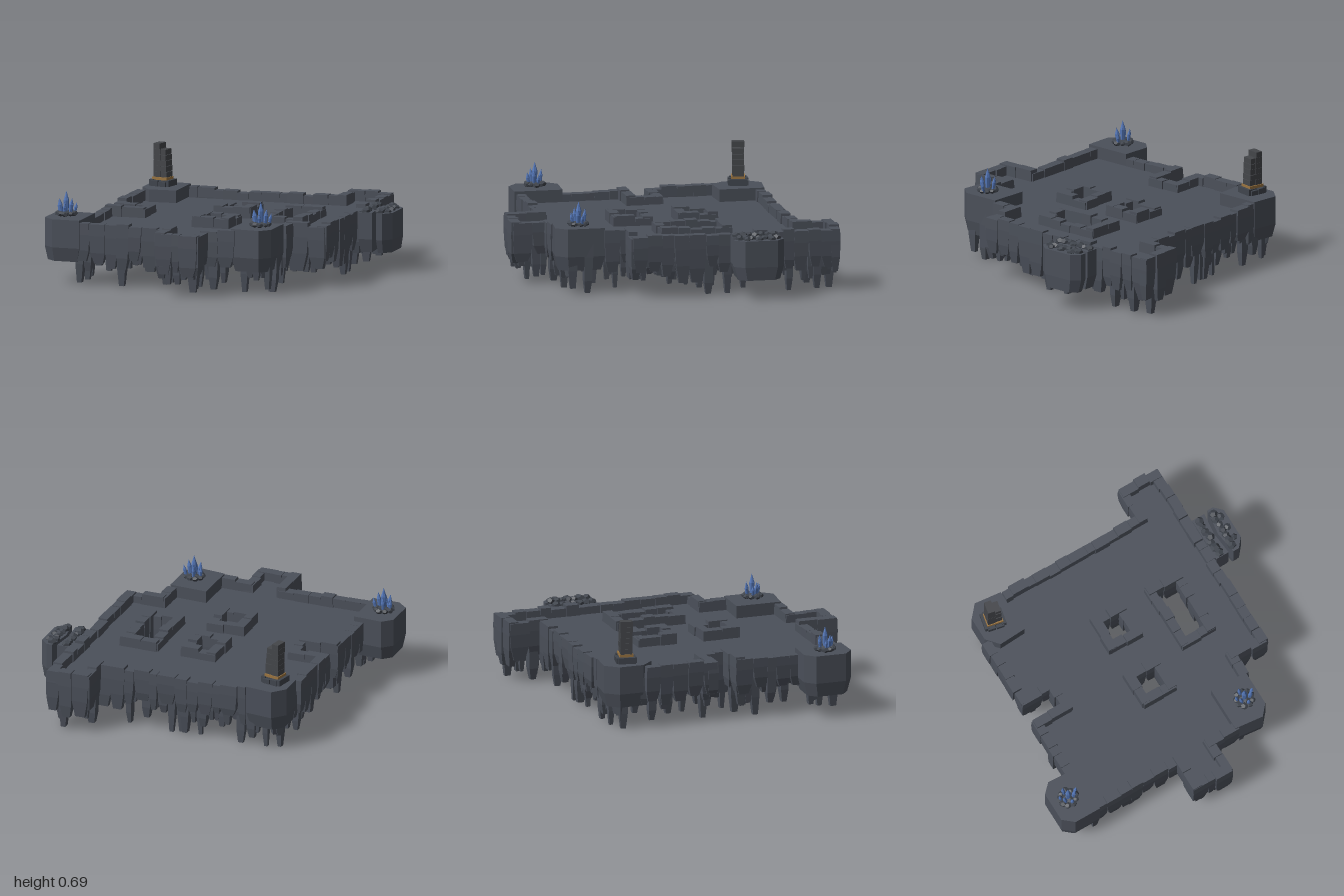
import * as THREE from 'three';
import { mergeGeometries } from 'three/addons/utils/BufferGeometryUtils.js';

let seed = 7;
const rand = (a = 0, b = 1) => {
  seed = (seed * 16807) % 2147483647;
  return a + (b - a) * (seed / 2147483647);
};

const material = (name, color) => {
  const m = new THREE.MeshStandardMaterial({ color, flatShading: true });
  m.name = name;
  return m;
};

// Platform outline along the middle of its walls, clockwise from above [x, z]
const OUTLINE = [
  [-0.70, -0.755], [0.50, -0.755], [0.50, -0.965], [0.735, -0.965], [0.735, 0.325], [0.525, 0.325],
  [0.51, 0.72], [0.47, 0.75], [0.10, 0.75], [0.10, 0.96], [-0.13, 0.96], [-0.13, 0.75],
  [-0.765, 0.75], [-0.765, 0.085], [-0.555, 0.085], [-0.555, -0.095], [-0.765, -0.095], [-0.765, -0.52],
  [-0.75, -0.71],
];
// Shafts through the floor, along the middle of their curbs: x0, z0, x1, z1
const SHAFTS = [[-0.1, -0.315, 0.085, -0.115], [-0.105, 0.11, 0.085, 0.30], [0.305, -0.315, 0.505, 0.09]];
// Corner bastions, seen from above
const BASTIONS = [
  [[-0.70, -0.80], [-0.52, -0.78], [-0.52, -0.49], [-0.70, -0.48], [-0.77, -0.56], [-0.77, -0.72]],
  [[-0.92, 0.47], [-0.73, 0.48], [-0.73, 0.79], [-0.91, 0.79], [-0.98, 0.73], [-0.98, 0.53]],
  [[0.28, 0.47], [0.53, 0.48], [0.53, 0.72], [0.47, 0.79], [0.28, 0.77]],
];
const RUIN = [
  [[0.77, -0.58], [0.86, -0.58], [0.845, -0.43], [0.86, -0.28], [0.77, -0.28]],
  [[0.89, -0.59], [0.93, -0.59], [0.98, -0.54], [0.98, -0.33], [0.93, -0.27], [0.89, -0.27], [0.865, -0.42]],
];

const inside = (x, z, poly) => {
  let hit = false;
  poly.forEach(([ax, az], i) => {
    const [bx, bz] = poly[(i + 1) % poly.length];
    if (az > z !== bz > z && x < ((bx - ax) * (z - az)) / (bz - az) + ax) hit = !hit;
  });
  return hit;
};

// Flat slab standing on y0, with the given outline
function slab(poly, y0, height, holes = [], steps = 1) {
  const toV = (p) => p.map(([x, z]) => new THREE.Vector2(x, -z));
  const shape = new THREE.Shape(toV(poly));
  holes.forEach((h) => shape.holes.push(new THREE.Path(toV(h))));
  return new THREE.ExtrudeGeometry(shape, { depth: height, steps, bevelEnabled: false })
    .rotateX(-Math.PI / 2).translate(0, y0, 0);
}

// Slab whose lowest third narrows toward its centre
function bastion(poly, bottom, top) {
  const g = slab(poly, bottom, top - bottom, [], 3), p = g.attributes.position;
  const cx = poly.reduce((s, q) => s + q[0], 0) / poly.length;
  const cz = poly.reduce((s, q) => s + q[1], 0) / poly.length;
  for (let i = 0; i < p.count; i++) {
    if (p.getY(i) > bottom + 0.01) continue;
    p.setX(i, cx + (p.getX(i) - cx) * 0.85);
    p.setZ(i, cz + (p.getZ(i) - cz) * 0.85);
  }
  return g;
}

// Hanging rock: a block that bulges a little and then tapers downward
function tooth(x, z, angle, length, thick, top, bottom) {
  const g = new THREE.BoxGeometry(1, 1, 1, 1, 3, 1), p = g.attributes.position;
  const shrink = [1, 1.06, 0.95, 0.58];
  const drop = [0, 0.3, rand(0.62, 0.78), 1];
  const lean = rand(-0.012, 0.012);
  for (let i = 0; i < p.count; i++) {
    const k = Math.round((0.5 - p.getY(i)) * 3);
    p.setXYZ(i, p.getX(i) * length * shrink[k] + lean * drop[k],
      top + (bottom - top) * drop[k], p.getZ(i) * thick * shrink[k]);
  }
  return g.rotateY(-angle).translate(x, 0, z);
}

// Row of wall blocks along a closed path, with narrower rocks hanging on the floor side
function hangingWall(path, geos) {
  path.forEach(([ax, az], i) => {
    const [bx, bz] = path[(i + 1) % path.length];
    const len = Math.hypot(bx - ax, bz - az), angle = Math.atan2(bz - az, bx - ax);
    const dx = (bx - ax) / len, dz = (bz - az) / len;
    const n = Math.max(1, Math.round(len / 0.085));
    const cuts = Array.from({ length: n + 1 }, (_, k) =>
      k === 0 ? -0.025 : k === n ? len + 0.025 : (k + rand(-0.25, 0.25)) * (len / n));
    for (let k = 0; k < n; k++) {
      const w = cuts[k + 1] - cuts[k], s = (cuts[k] + cuts[k + 1]) / 2, off = rand(-0.006, 0.006);
      const x = ax + dx * s - dz * off, z = az + dz * s + dx * off;
      if (!BASTIONS.some((b) => inside(x, z, b)))
        geos.push(tooth(x, z, angle, w * 0.97, rand(0.055, 0.066), rand(0.385, 0.412), rand(0.09, 0.2)));
      for (const side of [-0.25, 0.25]) {
        const t = THREE.MathUtils.clamp(s + side * w, 0.03, Math.max(0.03, len - 0.03)), inw = rand(0.015, 0.045);
        const deep = rand() < 0.2 ? rand(0, 0.05) : rand(0.06, 0.2);
        geos.push(tooth(ax + dx * t - dz * inw, az + dz * t + dx * inw, angle,
          rand(0.035, 0.06), rand(0.04, 0.07), 0.335, deep));
      }
    }
  });
}

export function createModel() {
  const root = new THREE.Group();
  root.name = 'floatingRockPlatform';
  const stone = material('slate stone', 0x4b505a);
  const rubble = material('dark rubble', 0x40454d);
  const pillarStone = material('weathered pillar stone', 0x44464a);
  const gold = material('old gold', 0x9a7440);
  const blue = material('blue crystal', 0x5375b5);
  const add = (name, geo, mat, parent = root) => {
    const m = new THREE.Mesh(geo, mat);
    m.name = name;
    parent.add(m);
    return m;
  };

  // Floor with its shafts
  const rings = SHAFTS.map(([x0, z0, x1, z1]) => [[x0, z0], [x0, z1], [x1, z1], [x1, z0]]);
  add('floor', slab(OUTLINE, 0.30, 0.04, rings), stone);

  // Uneven tiles below the floor
  const tiles = [];
  for (let x = -0.65; x < 0.8; x += 0.2) for (let z = -0.85; z < 1; z += 0.2) {
    const corners = [[-1, -1], [1, -1], [1, 1], [-1, 1]].map(([a, b]) => [x + a * 0.095, z + b * 0.095]);
    const clear = SHAFTS.every(([x0, z0, x1, z1]) => x + 0.1 < x0 || x - 0.1 > x1 || z + 0.1 < z0 || z - 0.1 > z1);
    const h = rand(0.01, 0.05);
    if (clear && corners.every(([a, b]) => inside(a, b, OUTLINE)))
      tiles.push(new THREE.BoxGeometry(0.19, h, 0.19).translate(x, 0.302 - h / 2, z));
  }
  add('undersideTiles', mergeGeometries(tiles), stone);

  // Outer walls and shaft curbs
  const walls = [];
  hangingWall(OUTLINE, walls);
  add('outerWalls', mergeGeometries(walls), stone);
  rings.forEach((ring) => {
    const curb = [];
    hangingWall(ring, curb);
    add('shaftCurb', mergeGeometries(curb), stone);
  });

  // Corner bastions and the split one on the right
  BASTIONS.forEach((b) => add('bastion', bastion(b, 0.15, 0.42), stone));
  RUIN.forEach((r) => add('splitBastion', bastion(r, 0.13, 0.385), stone));

  const rock = (x, y, z, r, flat) => new THREE.DodecahedronGeometry(r)
    .rotateY(rand(0, 6)).scale(1, flat, rand(0.8, 1.1)).translate(x, y, z);
  const rocks = [];
  for (let i = 0; i < 7; i++) {
    const z = -0.55 + i * 0.04;
    rocks.push(rock(0.805 + rand(-0.01, 0.01), 0.39, z, rand(0.024, 0.033), 0.8));
    rocks.push(rock(0.90 + rand(-0.01, 0.01), 0.39, z, rand(0.024, 0.032), 0.8));
    if (i % 2) rocks.push(rock(0.94, 0.388, z, 0.026, 0.8));
  }
  add('splitBastionRubble', mergeGeometries(rocks), rubble);

  // Crystal clusters: x, z, height, radius, sideways lean
  const CRYSTALS = [[0, 0, 0.15, 0.018, 0], [-0.025, 0.015, 0.105, 0.014, 0.14], [0.03, 0.01, 0.11, 0.014, -0.12],
    [-0.045, -0.01, 0.085, 0.011, 0.12], [0.05, -0.01, 0.08, 0.011, -0.2], [0.005, 0.04, 0.085, 0.012, 0],
    [-0.01, -0.035, 0.10, 0.012, 0.05]];
  for (const [px, pz] of [[-0.87, 0.63], [0.43, 0.63]]) {
    const cluster = new THREE.Group();
    cluster.name = 'crystalCluster';
    cluster.position.set(px, 0.43, pz);
    root.add(cluster);
    const bed = [rock(0, 0.008, 0, 0.045, 0.4)];
    for (let a = 0; a < 9; a++)
      bed.push(rock(Math.cos(a * 0.7) * 0.05, 0.008, Math.sin(a * 0.7) * 0.05, rand(0.02, 0.027), 0.7));
    add('crystalBed', mergeGeometries(bed), rubble, cluster);
    for (const [x, z, h, r, lean] of CRYSTALS) {
      const profile = [[0, 0], [r * 0.75, 0], [r, h * 0.6], [0, h]].map(([a, b]) => new THREE.Vector2(a, b));
      const c = add('crystal', new THREE.LatheGeometry(profile, 6), blue, cluster);
      c.position.set(x, 0, z);
      c.rotation.set(z * 3, 0, lean);
    }
  }

  // Broken pillar on the back bastion
  const pillar = new THREE.Group();
  pillar.name = 'brokenPillar';
  pillar.position.set(-0.66, 0.42, -0.64);
  pillar.rotation.y = -0.2;
  root.add(pillar);
  const box = (w, h, d, x, y, z) => new THREE.BoxGeometry(w, h, d).translate(x, y + h / 2, z);
  const foot = [box(0.09, 0.04, 0.09, 0, 0, 0)];
  for (const s of [-1, 1]) {
    foot.push(box(0.03, 0.04, 0.11, s * 0.056, 0.004, 0), box(0.05, 0.036, 0.03, -0.028, 0.004, s * 0.05),
      box(0.05, 0.03, 0.03, 0.028, 0.004, s * 0.05));
  }
  add('pillarFoot', mergeGeometries(foot), rubble, pillar);
  add('pillarBand', box(0.106, 0.018, 0.088, 0, 0.042, 0), gold, pillar);
  const courses = [];
  for (let i = 0; i < 6; i++) {
    const y = 0.06 + i * 0.036, w = rand(0.045, 0.06), right = 0.094 - w - i * 0.002;
    courses.push(box(w, 0.035, 0.074 + rand(0, 0.006), -0.047 + w / 2, y, 0));
    if (i < 5) courses.push(box(right, 0.034, 0.07 + rand(0, 0.008), -0.046 + w + right / 2, y, 0));
  }
  add('pillarShaft', mergeGeometries(courses), pillarStone, pillar);
  return root;
}
